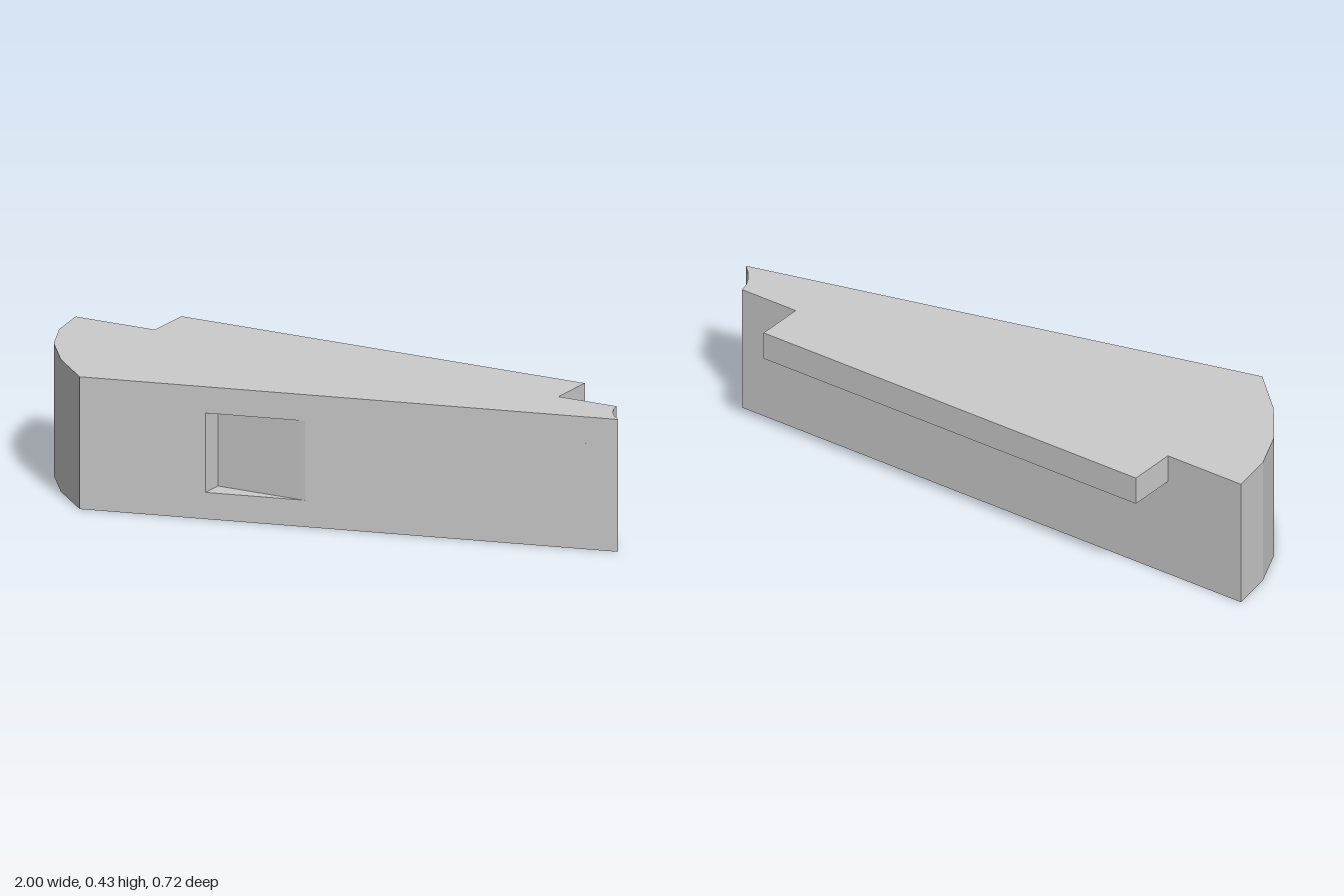
import * as THREE from 'three';

const HEIGHT = 0.427;
const material = new THREE.MeshStandardMaterial({ color: 0xcccccc, flatShading: true });

// Extrudes a plan outline of [x, z] points upward from y0 to y1.
function slab(name, points, y0, y1) {
  const shape = new THREE.Shape(points.map(([x, z]) => new THREE.Vector2(x, -z)));
  const geometry = new THREE.ExtrudeGeometry(shape, { depth: y1 - y0, bevelEnabled: false });
  geometry.rotateX(-Math.PI / 2).translate(0, y0, 0);
  const mesh = new THREE.Mesh(geometry, material);
  mesh.name = name;
  return mesh;
}

// Depth of the slanted front face at a given x.
const tip = [1, -0.073];
const corner = [-0.67, 0.358];
const faceZ = (x) => corner[1] + ((x - corner[0]) * (tip[1] - corner[1])) / (tip[0] - corner[0]);

export function createModel() {
  const group = new THREE.Group();
  group.name = 'wedgeBlock';

  // Convex faceted end, and the small concave scoop at the thin end
  const roundedEnd = [[-1, -0.193], [-0.977, -0.05], [-0.917, 0.088], [-0.812, 0.227], corner];
  const scoop = [tip, [0.972, -0.099], [0.949, -0.129], [0.933, -0.16], [0.925, -0.193]];

  // Ramped pocket sunk into the slanted face
  const pocket = [[-0.28, faceZ(-0.28)], [-0.28, 0.179], [0, 0.179], [0.03, faceZ(0.03)]];
  const pocketBottom = 0.086;
  const pocketTop = 0.342;

  const plain = [...roundedEnd, ...scoop];
  const notched = [...roundedEnd, ...pocket, ...scoop];
  group.add(slab('lowerBody', plain, 0, pocketBottom));
  group.add(slab('pocketBody', notched, pocketBottom, pocketTop));
  group.add(slab('upperBody', plain, pocketTop, HEIGHT));

  // Ledge along the top of the back
  const ledge = [[-0.718, -0.358], [-0.718, -0.193], [0.718, -0.193], [0.718, -0.358]];
  group.add(slab('backLedge', ledge, 0.334, HEIGHT));

  return group;
}
